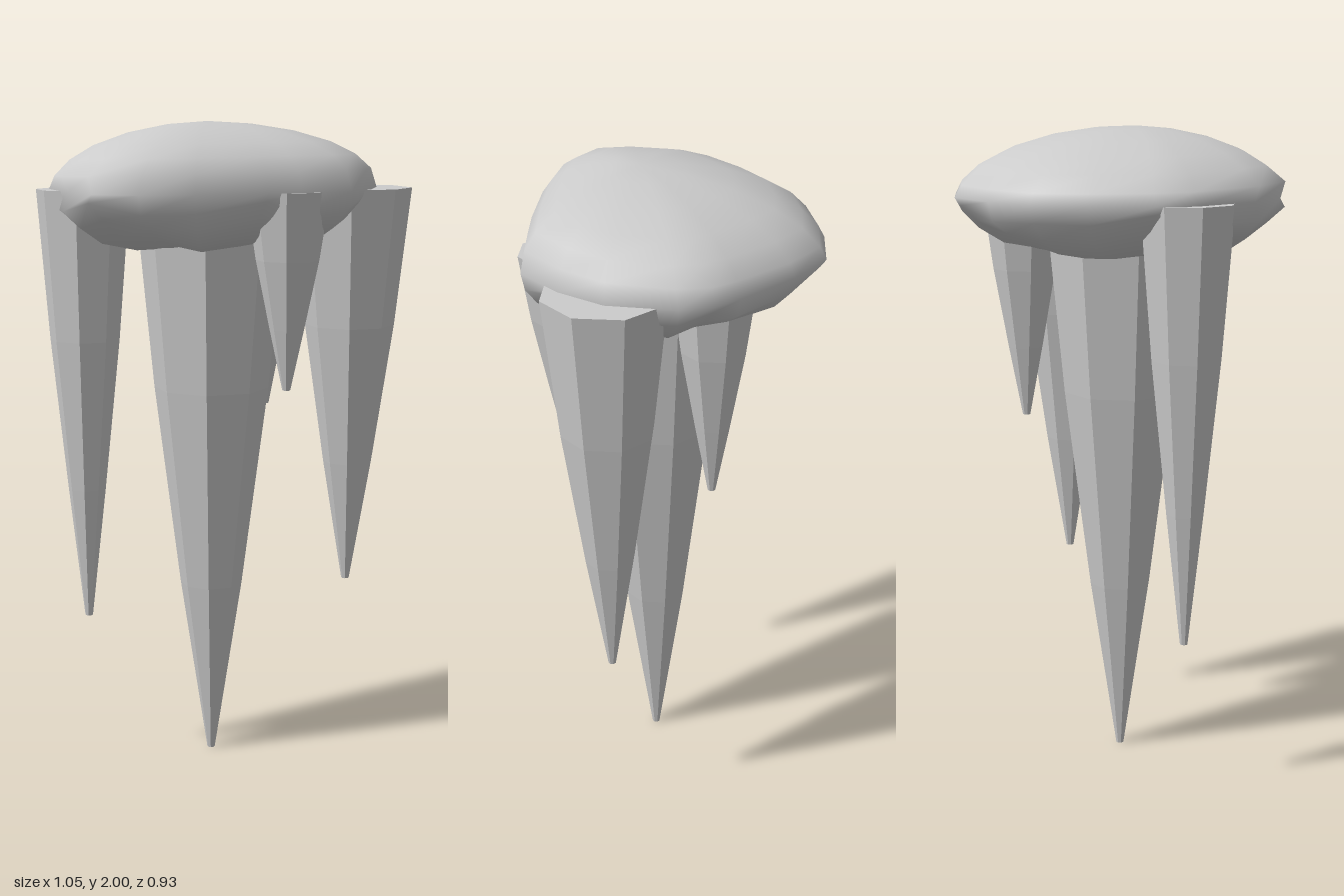
import * as THREE from 'three';
import { mergeVertices } from 'three/addons/utils/BufferGeometryUtils.js';

// Rim of the rock cap seen from above: x, z
const RIM = [
  [0, -0.465], [0.16, -0.44], [0.32, -0.38], [0.41, -0.25], [0.495, -0.06], [0.52, 0.02],
  [0.51, 0.12], [0.42, 0.3], [0.3, 0.395], [0.15, 0.46], [0, 0.41], [-0.1, 0.375],
  [-0.3, 0.29], [-0.44, 0.21], [-0.53, 0.09], [-0.515, -0.05], [-0.42, -0.25],
  [-0.33, -0.33], [-0.16, -0.415],
];

// Cap cross-sections from top to bottom: height, scale of the rim
const RINGS = [
  [2.0, 0], [1.992, 0.25], [1.97, 0.5], [1.935, 0.72], [1.895, 0.87], [1.85, 0.965],
  [1.8, 1], [1.755, 0.97], [1.71, 0.88], [1.665, 0.74], [1.635, 0.5], [1.63, 0.25], [1.63, 0],
];

// Icicles: name, x, z, tip height, radius at the top
const ICICLES = [
  ['mainIcicle', -0.01, 0.02, 0, 0.237],
  ['frontLeftIcicle', 0.34, 0.272, 0.56, 0.184],
  ['backRightIcicle', -0.35, -0.175, 0.47, 0.142],
  ['frontIcicle', 0.033, 0.315, 1.21, 0.125],
  ['leftIcicle', 0.29, -0.06, 1.09, 0.132],
];
const TOP = 1.8;

// Lumpy stone made by lofting the rim through the rings
function capGeometry() {
  const n = RIM.length;
  const positions = [];
  const index = [];
  RINGS.forEach(([y, s], i) => {
    RIM.forEach(([x, z], j) => {
      let k = s;
      // Small notch in the right-hand edge
      if (x < -0.5) k = i === 6 ? 0.965 : i === 5 || i === 7 ? 0.995 : s;
      const px = x * k - 0.05 * (1 - k);
      const pz = z * k + 0.05 * (1 - k);
      // Crown leans forward, underside is uneven
      const lean = y > TOP ? 0.035 * (pz - 0.08) * s : 0;
      const lump = y < TOP ? 0.022 * s * Math.sin(j * 2.1 + i * 0.5) : 0;
      positions.push(px, y + lean + lump, pz);
      if (i < RINGS.length - 1) {
        const a = i * n + j, b = i * n + ((j + 1) % n);
        if (i > 0) index.push(a, b, b + n);
        if (i < RINGS.length - 2) index.push(a, b + n, a + n);
      }
    });
  });
  let geometry = new THREE.BufferGeometry();
  geometry.setAttribute('position', new THREE.Float32BufferAttribute(positions, 3));
  geometry.setIndex(index);
  geometry = mergeVertices(geometry, 1e-4);
  geometry.computeVertexNormals();
  return geometry;
}

// Eight-sided, slightly bulging spike with a flat top
function icicleGeometry(tip, radius) {
  const length = TOP - tip;
  const profile = [[0, 0], [0.012, 0], [0.41 * radius, 0.31], [0.75 * radius, 0.66], [radius, 1], [0, 1]];
  return new THREE.LatheGeometry(profile.map(([r, t]) => new THREE.Vector2(r, tip + t * length)), 8);
}

export function createModel() {
  const group = new THREE.Group();
  group.name = 'icicleCluster';

  const stone = new THREE.MeshStandardMaterial({ color: 0xcccccc });
  const ice = new THREE.MeshStandardMaterial({ color: 0xcccccc, flatShading: true });

  const cap = new THREE.Mesh(capGeometry(), stone);
  cap.name = 'cap';
  group.add(cap);

  for (const [name, x, z, tip, radius] of ICICLES) {
    const icicle = new THREE.Mesh(icicleGeometry(tip, radius), ice);
    icicle.name = name;
    icicle.position.set(x, 0, z);
    group.add(icicle);
  }
  return group;
}
